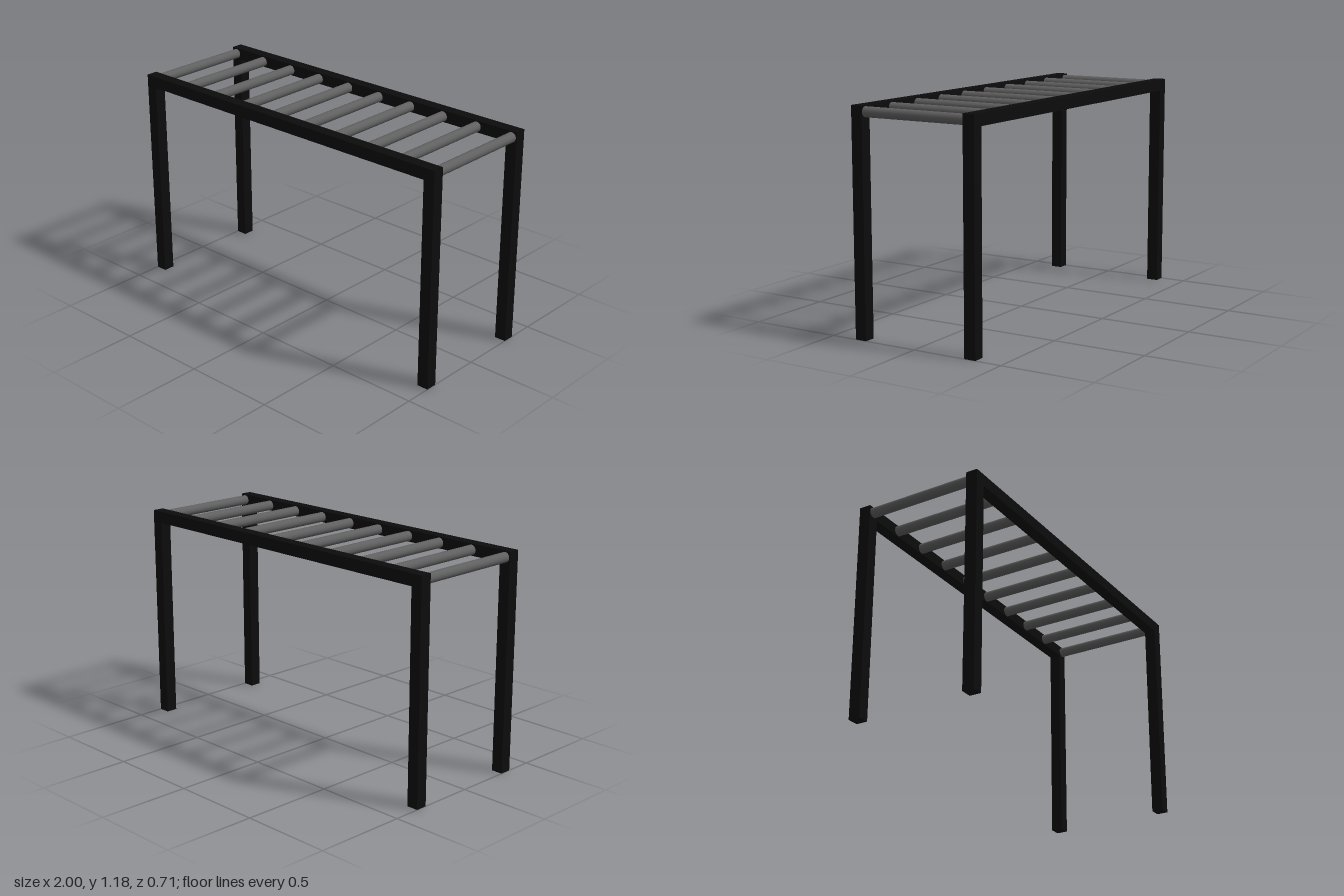
import * as THREE from 'three';

export function createModel() {
  const group = new THREE.Group();
  const frameMat = new THREE.MeshStandardMaterial({ color: 0x0c0c0c });
  const rungMat = new THREE.MeshStandardMaterial({ color: 0x606060 });

  const height = 1.178, beam = 0.063, width = 0.714;
  const postX = 1 - beam / 2, railZ = (width - beam) / 2;

  const add = (name, geometry, material, x, y, z) => {
    const mesh = new THREE.Mesh(geometry, material);
    mesh.name = name;
    mesh.position.set(x, y, z);
    group.add(mesh);
  };

  // Square posts carrying two long top rails
  const postHeight = height - beam;
  const postGeo = new THREE.BoxGeometry(beam, postHeight, beam);
  const railGeo = new THREE.BoxGeometry(2, beam, beam);
  for (const [side, sz] of [['front', 1], ['back', -1]]) {
    add(side + 'Rail', railGeo, frameMat, 0, height - beam / 2, sz * railZ);
    add(side + 'LeftPost', postGeo, frameMat, postX, postHeight / 2, sz * railZ);
    add(side + 'RightPost', postGeo, frameMat, -postX, postHeight / 2, sz * railZ);
  }

  // Round rungs spanning between the rails
  const rungCount = 10;
  const rungGeo = new THREE.CylinderGeometry(0.027, 0.027, width - 2 * beam + 0.01, 24);
  rungGeo.rotateX(Math.PI / 2);
  for (let i = 0; i < rungCount; i++) {
    const x = THREE.MathUtils.lerp(-postX, postX, i / (rungCount - 1));
    add('rung' + (i + 1), rungGeo, rungMat, x, height - beam / 2 - 0.001, 0);
  }

  return group;
}
